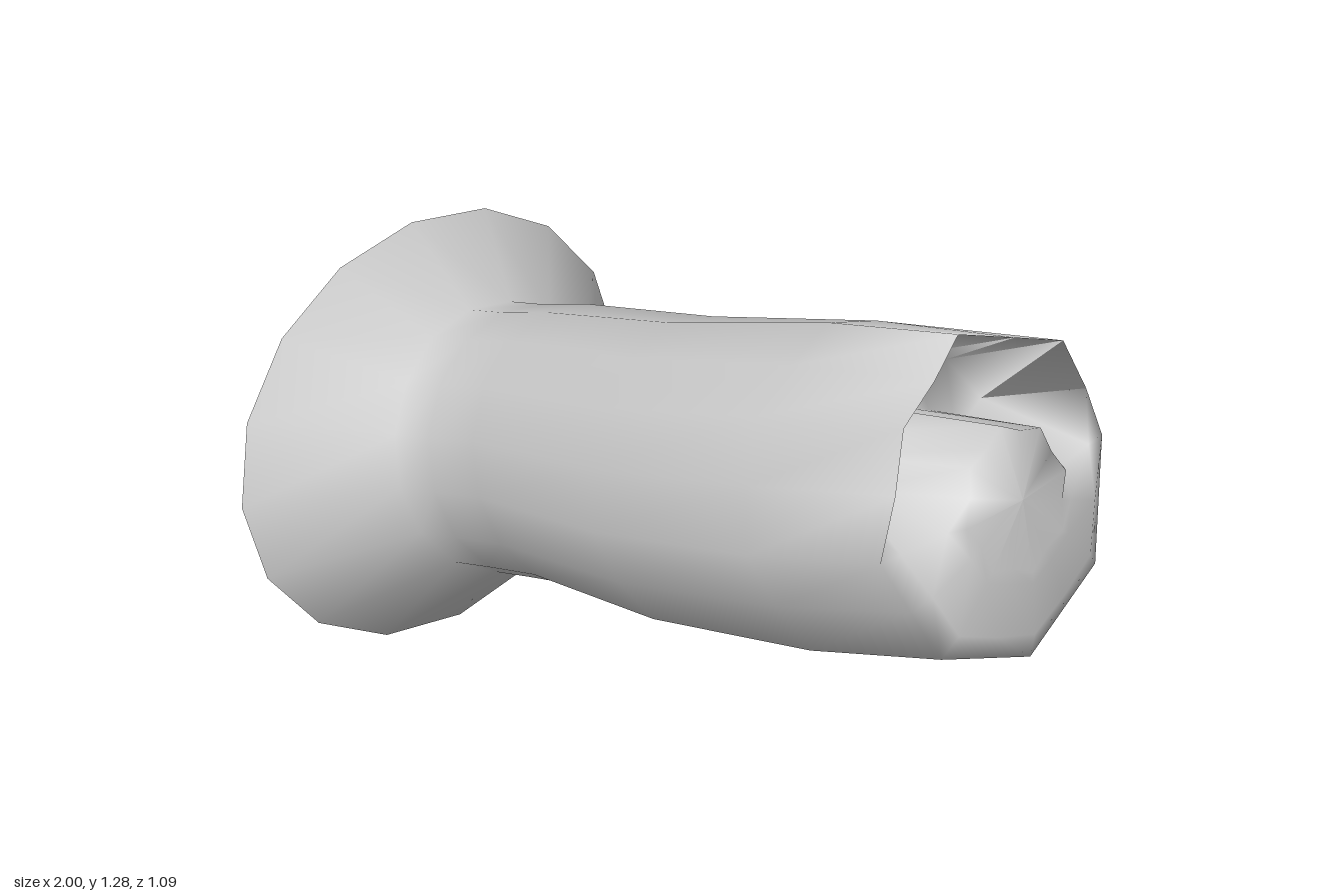
import * as THREE from 'three';

const SIDES = 16;
const TILT = 0.325;
const AXIS = new THREE.Vector3(Math.cos(TILT), Math.sin(TILT), 0);
const UP = new THREE.Vector3(-Math.sin(TILT), Math.cos(TILT), 0);

// Ring of points around the tilted axis. facet pulls odd corners in towards an octagon,
// shift(angle) moves points along the axis, skew slants the ring sideways.
function ring(x, y, z, ru, rz, { facet = 1, shift = () => 0, skew = 0 } = {}) {
  const points = [];
  for (let j = 0; j < SIDES; j++) {
    const t = (j / SIDES) * Math.PI * 2;
    const k = j % 2 ? facet : 1;
    points.push(new THREE.Vector3(x, y, z + k * (rz * Math.sin(t) - skew * Math.cos(t)))
      .addScaledVector(UP, ru * k * Math.cos(t))
      .addScaledVector(AXIS, shift(t)));
  }
  return points;
}

// Smooth skin between successive rings
function loft(name, rings) {
  const positions = [], index = [];
  rings.forEach(r => r.forEach(p => positions.push(p.x, p.y, p.z)));
  for (let i = 0; i < rings.length - 1; i++) {
    for (let j = 0; j < SIDES; j++) {
      const k = (j + 1) % SIDES;
      const a = i * SIDES + j, b = i * SIDES + k;
      const c = a + SIDES, d = b + SIDES;
      index.push(a, b, c, b, d, c);
    }
  }
  const geometry = new THREE.BufferGeometry();
  geometry.setAttribute('position', new THREE.Float32BufferAttribute(positions, 3));
  geometry.setIndex(index);
  geometry.computeVertexNormals();
  const mesh = new THREE.Mesh(geometry,
    new THREE.MeshStandardMaterial({ color: 0xcccccc, side: THREE.DoubleSide }));
  mesh.name = name;
  return mesh;
}

export function createModel() {
  const group = new THREE.Group();
  group.name = 'flaredSleeve';

  const cuffRing = (scale, offset) =>
    ring(-0.82, 0.425, 0, 0.45 * scale, 0.545 * scale, {
      shift: t => offset - 0.04 * scale * Math.sin(t),
      skew: 0.08 * scale,
    });
  const endRing = (scale, facet, shift) =>
    ring(0.885, 0.97, 0.115, 0.328 * scale, 0.33 * scale, { facet, shift });
  // Axial position that drops from the lower bulge into the upper hollow
  const hollow = (bulge, depth) => t => THREE.MathUtils.lerp(
    bulge, -depth, THREE.MathUtils.smoothstep(Math.cos(t), -0.1, 0.5));

  group.add(loft('sleeve', [
    // sunken centre and rolled lip of the cuff
    cuffRing(0, 0.12),
    cuffRing(0.45, 0.1),
    cuffRing(0.68, -0.08),
    cuffRing(0.86, -0.06),
    cuffRing(1, 0),
    // neck and gently bent tube
    ring(-0.565, 0.495, 0.03, 0.3, 0.31),
    ring(-0.46, 0.525, 0.027, 0.3, 0.306),
    ring(-0.32, 0.57, 0.025, 0.305, 0.308),
    ring(0.125, 0.715, 0.105, 0.327, 0.327, { facet: 0.98 }),
    ring(0.57, 0.865, 0.115, 0.342, 0.35, { facet: 0.95 }),
    // end rim, hollow above and bulging below, with a central knob
    endRing(1, 0.924, t => Math.cos(t) > 0.1 ? 0.04 * Math.abs(Math.sin(2 * t)) : 0),
    endRing(0.85, 0.94, hollow(0.025, 0.24)),
    endRing(0.52, 0.94, hollow(0.05, 0.24)),
    endRing(0.45, 0.88, () => 0.055),
    endRing(0, 1, () => 0.07),
  ]));

  return group;
}
